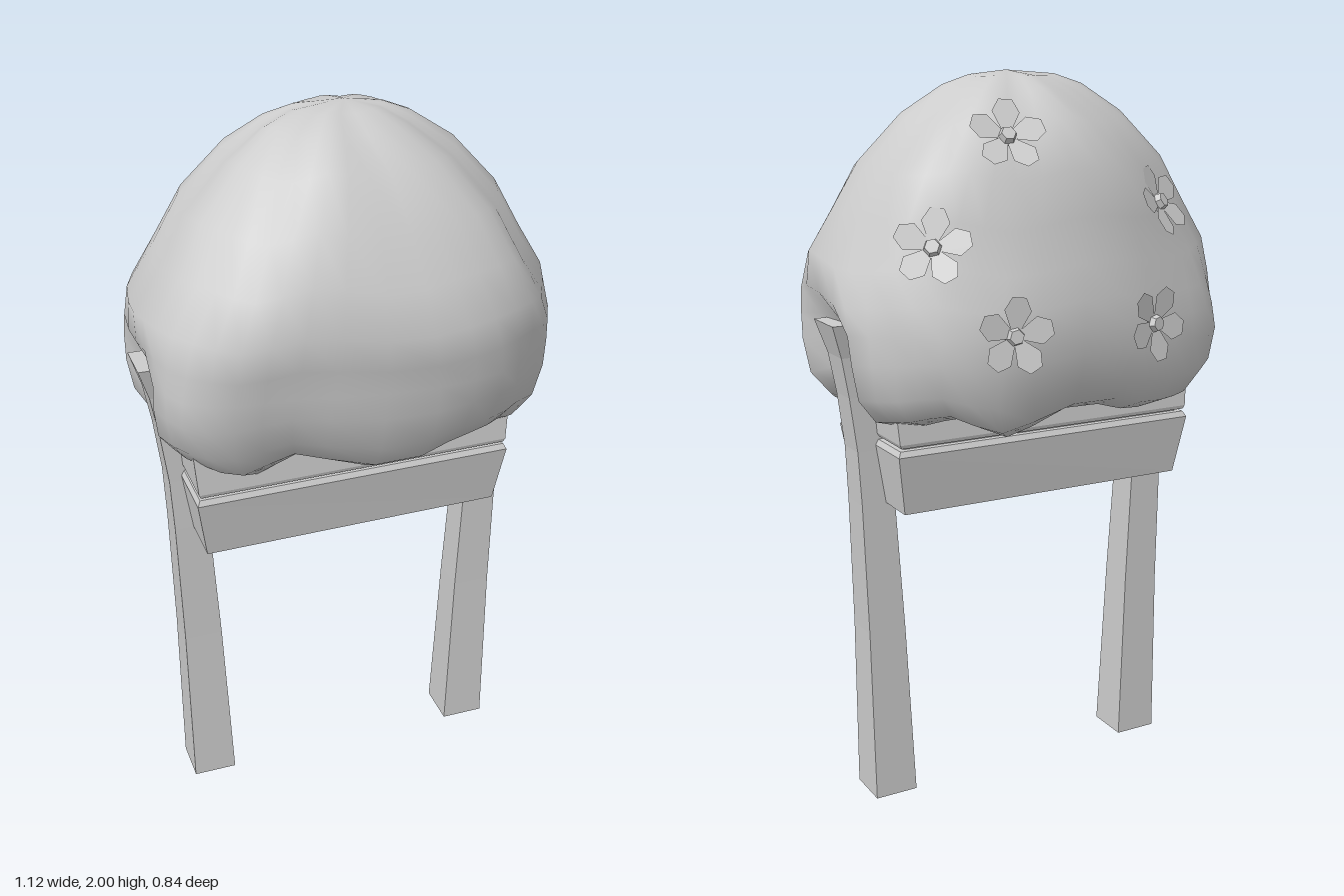
import * as THREE from 'three';

const grey = new THREE.MeshStandardMaterial({ color: 0xcccccc });
const thin = new THREE.MeshStandardMaterial({ color: 0xcccccc, side: THREE.DoubleSide });

// Skin over horizontal rings listed bottom to top; optional centre points close the ends.
function loft(rings, bottom, top, smooth = false) {
  const n = rings[0].length;
  const pos = rings.flat(2);
  const idx = [];
  for (let i = 0; i < rings.length - 1; i++) {
    for (let j = 0; j < n; j++) {
      const k = (j + 1) % n;
      const a = i * n + j, b = i * n + k, c = b + n, d = a + n;
      idx.push(a, d, c, a, c, b);
    }
  }
  if (bottom) {
    const c = pos.length / 3;
    pos.push(...bottom);
    for (let j = 0; j < n; j++) idx.push(j, (j + 1) % n, c);
  }
  if (top) {
    const c = pos.length / 3, o = (rings.length - 1) * n;
    pos.push(...top);
    for (let j = 0; j < n; j++) idx.push(o + j, c, o + (j + 1) % n);
  }
  let g = new THREE.BufferGeometry();
  g.setAttribute('position', new THREE.Float32BufferAttribute(pos, 3));
  g.setIndex(idx);
  if (!smooth) g = g.toNonIndexed();
  g.computeVertexNormals();
  return g;
}

// Rectangle with half sizes w and d, slightly narrower at its +x end.
const planterRing = ([y, w, d]) =>
  [[w, d - 0.02], [-w, d], [-w, -d], [w, 0.02 - d]].map(([x, z]) => [x - 0.015, y, z + 0.01]);

function add(parent, name, geometry, material = grey) {
  const m = new THREE.Mesh(geometry, material);
  m.name = name;
  parent.add(m);
  return m;
}

// Lumpy foliage: rows are y, xMin, xMax, zMin, zMax, lump size in y, squareness, dent behind the posts.
function bushGeometry() {
  const rows = [
    [1.18, -0.34, 0.32, -0.2, 0.2, 0, 2.4, 0],
    [1.125, -0.44, 0.42, -0.29, 0.27, 0.022, 2.6, 0],
    [1.15, -0.51, 0.5, -0.345, 0.32, 0.02, 2.7, 0.05],
    [1.21, -0.555, 0.55, -0.375, 0.36, 0.015, 2.7, 0.075],
    [1.30, -0.57, 0.565, -0.39, 0.39, 0.01, 2.7, 0.08],
    [1.37, -0.57, 0.57, -0.39, 0.4, 0.005, 2.6, 0.065],
    [1.44, -0.565, 0.57, -0.385, 0.412, 0.01, 2.5, 0.015],
    [1.53, -0.555, 0.545, -0.365, 0.427, 0.01, 2.4, 0],
    [1.64, -0.48, 0.48, -0.345, 0.385, 0.01, 2.4, 0],
    [1.76, -0.41, 0.42, -0.33, 0.325, 0.01, 2.3, 0],
    [1.88, -0.29, 0.31, -0.27, 0.235, 0.01, 2.2, 0],
    [1.955, -0.19, 0.2, -0.17, 0.135, 0.006, 2, 0],
    [1.985, -0.11, 0.13, -0.11, 0.06, 0.002, 2, 0],
  ];
  const n = 40;
  const rings = rows.map(([y, x0, x1, z0, z1, lump, power, dent]) => Array.from({ length: n }, (_, j) => {
    const t = (j / n) * Math.PI * 2, c = Math.cos(t), s = Math.sin(t), p = 2 / power;
    const wave = 0.018 * Math.sin(5 * t + 6 * y) + 0.012 * Math.sin(9 * t - 11 * y);
    const r = 1 + wave * Math.min(1, s * s * 4) * Math.min(1, (2 - y) * 4);
    const frontDip = 1 - 0.07 * Math.max(0, s) * Math.exp(-(((c + 0.35) / 0.35) ** 2));
    const rx = r * Math.sign(c) * Math.abs(c) ** p;
    const rz = r * Math.sign(s) * Math.abs(s) ** p * frontDip;
    return [
      (x0 + x1) / 2 + rx * (x1 - x0) / 2 - Math.sign(c) * dent * Math.exp(-((s / 0.2) ** 4)),
      y + lump * (Math.sin(7 * t + 1) + 0.5 * Math.sin(11 * t) - Math.max(0, -s) * 0.5),
      (z0 + z1) / 2 + rz * (z1 - z0) / 2,
    ];
  }));
  return loft(rings, [0, 1.19, 0], [0.03, 1.998, -0.03], true);
}

// Five broad blunt petals around a faceted button, facing +z.
function flower() {
  const g = new THREE.Group();
  g.name = 'flower';
  const petal = new THREE.Shape([[0.015, -0.012], [0.065, -0.036], [0.098, -0.018],
    [0.098, 0.018], [0.065, 0.036], [0.015, 0.012]].map(([x, y]) => new THREE.Vector2(x, y)));
  const petalGeo = new THREE.ShapeGeometry(petal);
  const pos = petalGeo.attributes.position;
  for (let i = 0; i < pos.count; i++) pos.setZ(i, pos.getX(i) * 0.15);
  petalGeo.computeVertexNormals();
  for (let i = 0; i < 5; i++) add(g, 'petal', petalGeo, thin).rotation.z = (i / 5) * Math.PI * 2 + 0.3;
  const button = new THREE.CylinderGeometry(0.019, 0.027, 0.024, 6).toNonIndexed();
  button.computeVertexNormals();
  button.rotateX(Math.PI / 2).translate(0, 0, 0.006);
  add(g, 'flowerCentre', button);
  return g;
}

export function createModel() {
  const model = new THREE.Group();
  model.name = 'raisedPlanter';

  // Tapered trough, recessed groove and upper tray
  const parts = {
    planterBox: [[0.87, 0.42, 0.19], [1.035, 0.445, 0.215], [1.05, 0.437, 0.207]],
    planterGroove: [[1.04, 0.42, 0.19], [1.08, 0.42, 0.19]],
    planterRim: [[1.058, 0.435, 0.21], [1.068, 0.44, 0.213], [1.2, 0.45, 0.203]],
  };
  for (const [name, rows] of Object.entries(parts)) {
    const y0 = rows[0][0], y1 = rows[rows.length - 1][0];
    add(model, name, loft(rows.map(planterRing), [-0.015, y0, 0.01], [-0.015, y1, 0.01]));
  }

  // Splayed posts, hollow at the foot: y, inner x, outer x, half depth
  const post = [[0, 0.345, 0.468, 0.063], [0.5, 0.365, 0.472, 0.053], [0.87, 0.385, 0.481, 0.047],
    [1.02, 0.405, 0.488, 0.044], [1.17, 0.445, 0.507, 0.043], [1.28, 0.475, 0.527, 0.046],
    [1.37, 0.51, 0.556, 0.063]];
  for (const side of [1, -1]) {
    const rings = post.map(([y, a, b, d]) => {
      const ring = [[b, -d], [b, d], [a, d], [a, -d]].map(([x, z]) => [side * x - 0.006, y, z + 0.006]);
      return side > 0 ? ring : ring.reverse();
    });
    add(model, side > 0 ? 'leftPost' : 'rightPost', loft(rings, null, [side * 0.533 - 0.006, 1.37, 0.006]), thin);
  }

  const bush = add(model, 'bush', bushGeometry());

  // Flowers resting on the back of the bush: position, then facing direction
  const spots = [
    [-0.29, 1.66, -0.28, -0.35, 0.6, -0.7],
    [0.15, 1.83, -0.245, 0.2, 0.7, -0.7],
    [0.36, 1.58, -0.26, 0.5, 0.55, -0.65],
    [-0.23, 1.36, -0.385, -0.25, 0.1, -1],
    [0.2, 1.37, -0.385, 0.2, 0.15, -1],
  ];
  for (const [x, y, z, nx, ny, nz] of spots) {
    const dir = new THREE.Vector3(nx, ny, nz).normalize();
    const from = new THREE.Vector3(x, y, z).addScaledVector(dir, 0.5);
    const [hit] = new THREE.Raycaster(from, dir.clone().negate()).intersectObject(bush);
    const facing = dir.clone().add(hit.face.normal).normalize();
    const f = flower();
    f.position.copy(hit.point).addScaledVector(facing, 0.004);
    f.quaternion.setFromUnitVectors(new THREE.Vector3(0, 0, 1), facing);
    model.add(f);
  }
  return model;
}
